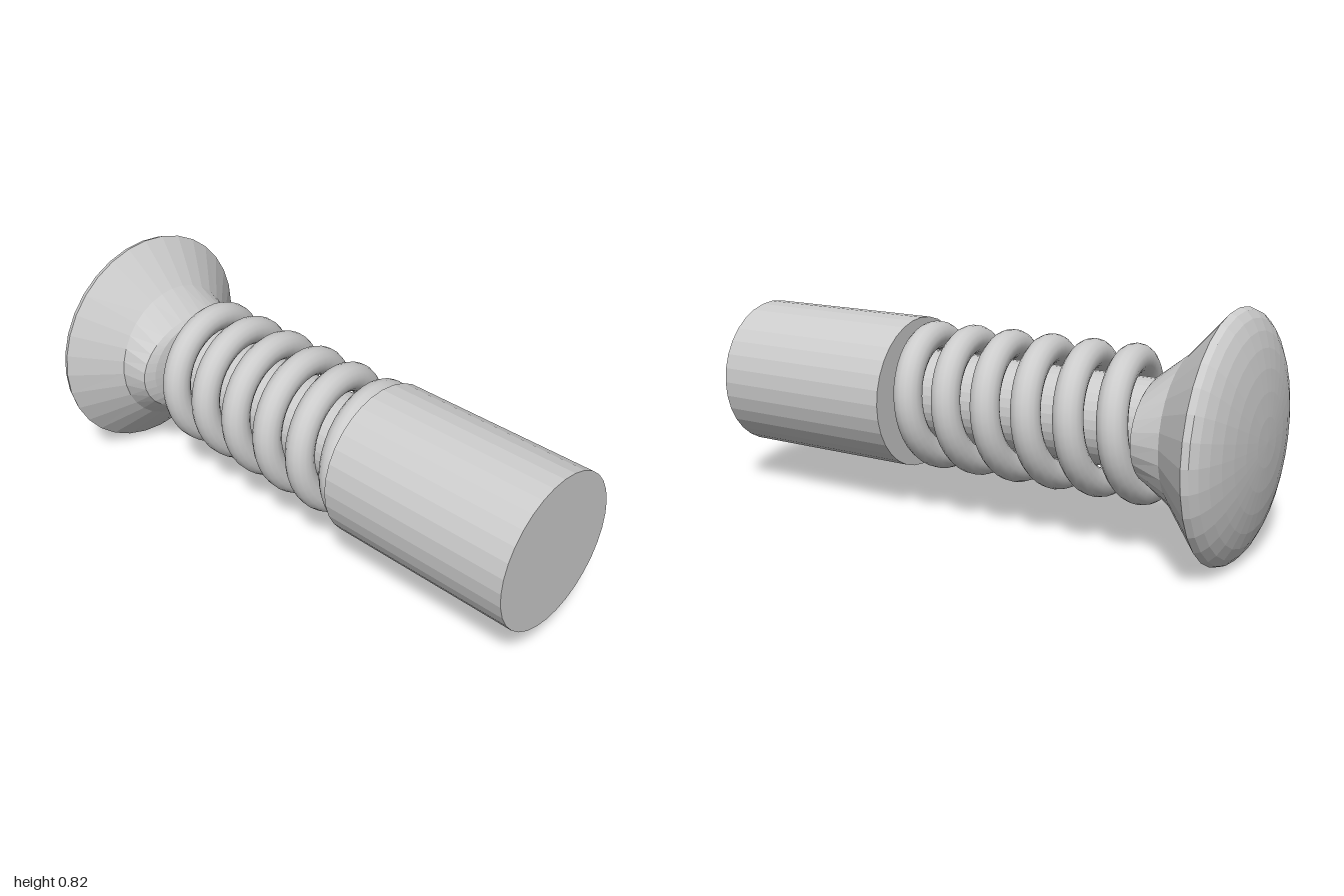
import * as THREE from 'three';

const SIDES = 32;
const AXIS_Y = 0.409;

// Skin a row of elliptical sections [x, radiusY, radiusZ] along the x axis
function loft(sections) {
  const pos = [], index = [];
  for (const [x, ry, rz] of sections) {
    for (let i = 0; i < SIDES; i++) {
      const a = (i / SIDES) * Math.PI * 2;
      pos.push(x, ry * Math.cos(a), rz * Math.sin(a));
    }
  }
  for (let s = 0; s < sections.length - 1; s++) {
    for (let i = 0; i < SIDES; i++) {
      const j = (i + 1) % SIDES;
      const a = s * SIDES + i, b = s * SIDES + j;
      const c = a + SIDES, d = b + SIDES;
      if (sections[s][1] > 0) index.push(a, b, c);
      if (sections[s + 1][1] > 0) index.push(b, d, c);
      if (sections[s][1] === 0) index.push(a, d, c);
      if (sections[s + 1][1] === 0) index.push(a, b, c);
    }
  }
  const geo = new THREE.BufferGeometry();
  geo.setAttribute('position', new THREE.Float32BufferAttribute(pos, 3));
  geo.setIndex(index);
  geo.computeVertexNormals();
  return geo;
}

// Helix along x, starting at the bottom and rising round the back
class Helix extends THREE.Curve {
  getPoint(t, target = new THREE.Vector3()) {
    const a = t * 6 * Math.PI * 2;
    return target.set(-0.615 + t * 0.936, -0.21 * Math.cos(a), -0.21 * Math.sin(a));
  }
}

export function createModel() {
  const group = new THREE.Group();
  const flat = new THREE.MeshStandardMaterial({ color: 0xcccccc, flatShading: true });
  const smooth = new THREE.MeshStandardMaterial({ color: 0xcccccc });
  const add = (name, geo, mat) => {
    const mesh = new THREE.Mesh(geo, mat);
    mesh.name = name;
    mesh.position.y = AXIS_Y;
    group.add(mesh);
    return mesh;
  };

  // Head: shallow dome, countersunk cone, then a neck flattening to an oval
  const head = [];
  for (let i = 0; i <= 8; i++) {
    const a = (i / 8) * Math.PI / 2;
    const r = i === 0 ? 0 : 0.409 * Math.sin(a);
    head.push([-0.89 - 0.11 * Math.cos(a), r, r]);
  }
  head.push([-0.75, 0.26, 0.255], [-0.65, 0.18, 0.24]);
  // Slightly bulged end of the neck
  head.push([-0.635, 0.165, 0.2], [-0.625, 0.13, 0.14], [-0.62, 0, 0]);
  add('head', loft(head), flat);

  // Core rod and end barrel
  add('shaft', loft([[-0.66, 0, 0], [-0.66, 0.155, 0.155], [0.32, 0.155, 0.155], [0.32, 0, 0]]), flat);
  add('barrel', loft([[0.295, 0, 0], [0.295, 0.27, 0.27], [1, 0.27, 0.27], [1, 0, 0]]), flat);

  // Coiled thread with a closed starting end
  const helix = new Helix();
  add('coil', new THREE.TubeGeometry(helix, 240, 0.05, 16, false), smooth);
  const cap = add('coilEnd', new THREE.CircleGeometry(0.05, 16), smooth);
  const start = helix.getPoint(0);
  cap.position.add(start);
  cap.lookAt(cap.position.clone().sub(helix.getTangent(0)));

  return group;
}
